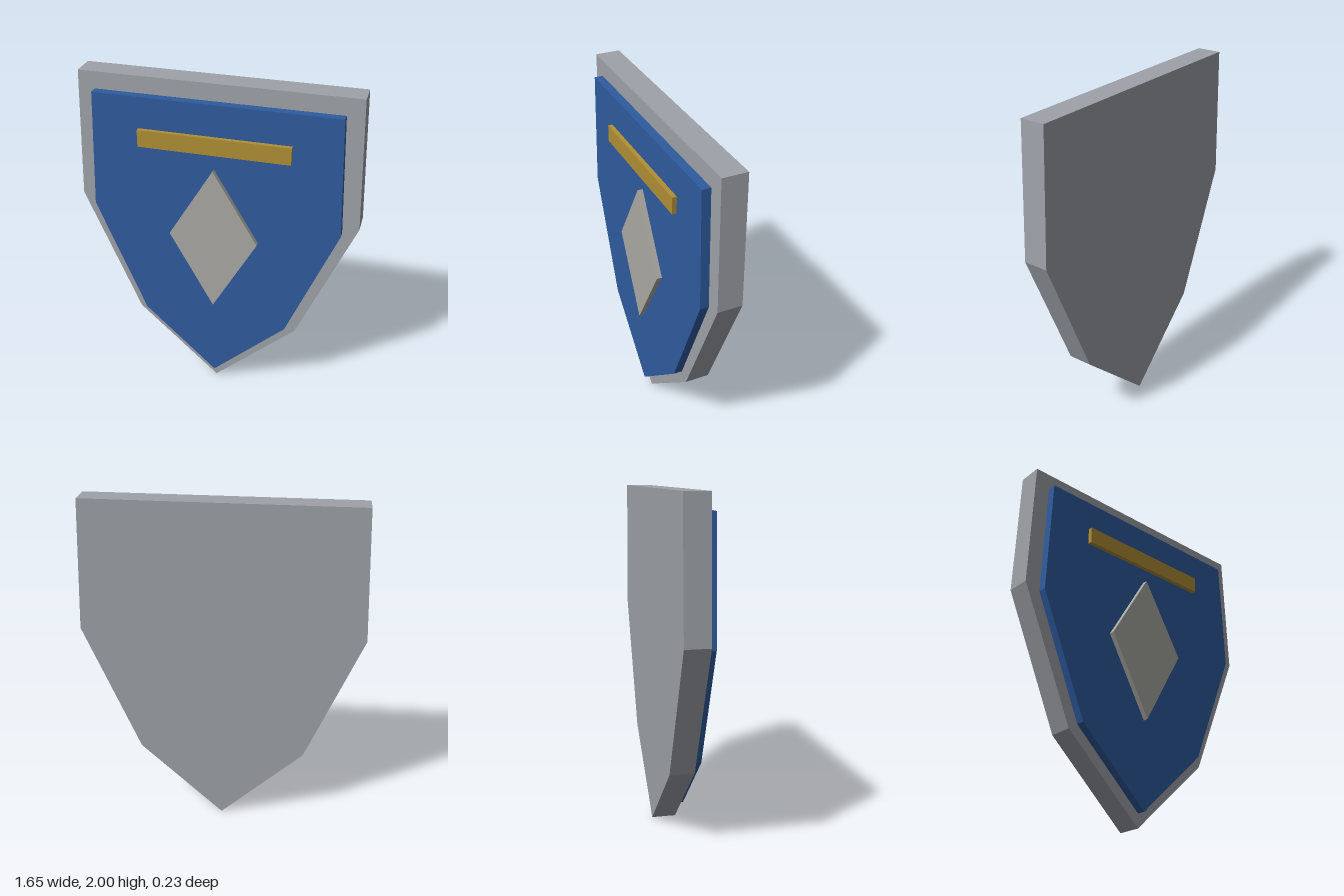
import * as THREE from 'three';

// Flat plate: the right half of an outline (top to bottom) is mirrored, then extruded from z0 to z1.
function plate(name, half, z0, z1, color) {
  const left = half.filter(([x]) => x > 0).reverse().map(([x, y]) => [-x, y]);
  const points = [...half, ...left].map(([x, y]) => new THREE.Vector2(x, y));
  const geometry = new THREE.ExtrudeGeometry(new THREE.Shape(points), {
    depth: z1 - z0, bevelEnabled: false,
  });
  geometry.translate(0, 0, z0);
  const material = new THREE.MeshStandardMaterial({ color, flatShading: true });
  const mesh = new THREE.Mesh(geometry, material);
  mesh.name = name;
  return mesh;
}

export function createModel() {
  const shield = new THREE.Group();
  shield.name = 'shield';

  // Thick metal backing whose edge shows as a rim
  shield.add(plate('backing',
    [[0.795, 2], [0.826, 1.23], [0.496, 0.455], [0, 0]], -0.113, 0.031, 0x9ea2a8));

  // Raised blue field
  shield.add(plate('field',
    [[0.702, 1.9], [0.732, 1.198], [0.44, 0.493], [0, 0.083]], 0.031, 0.082, 0x2f5c9e));

  // Gold bar across the top
  shield.add(plate('bar',
    [[0.437, 1.714], [0.437, 1.613]], 0.08, 0.108, 0xb08f35));

  // Diamond emblem in the centre
  shield.add(plate('diamond',
    [[0, 1.518], [0.262, 1.08], [0, 0.613]], 0.08, 0.113, 0xaaa9a3));

  return shield;
}
